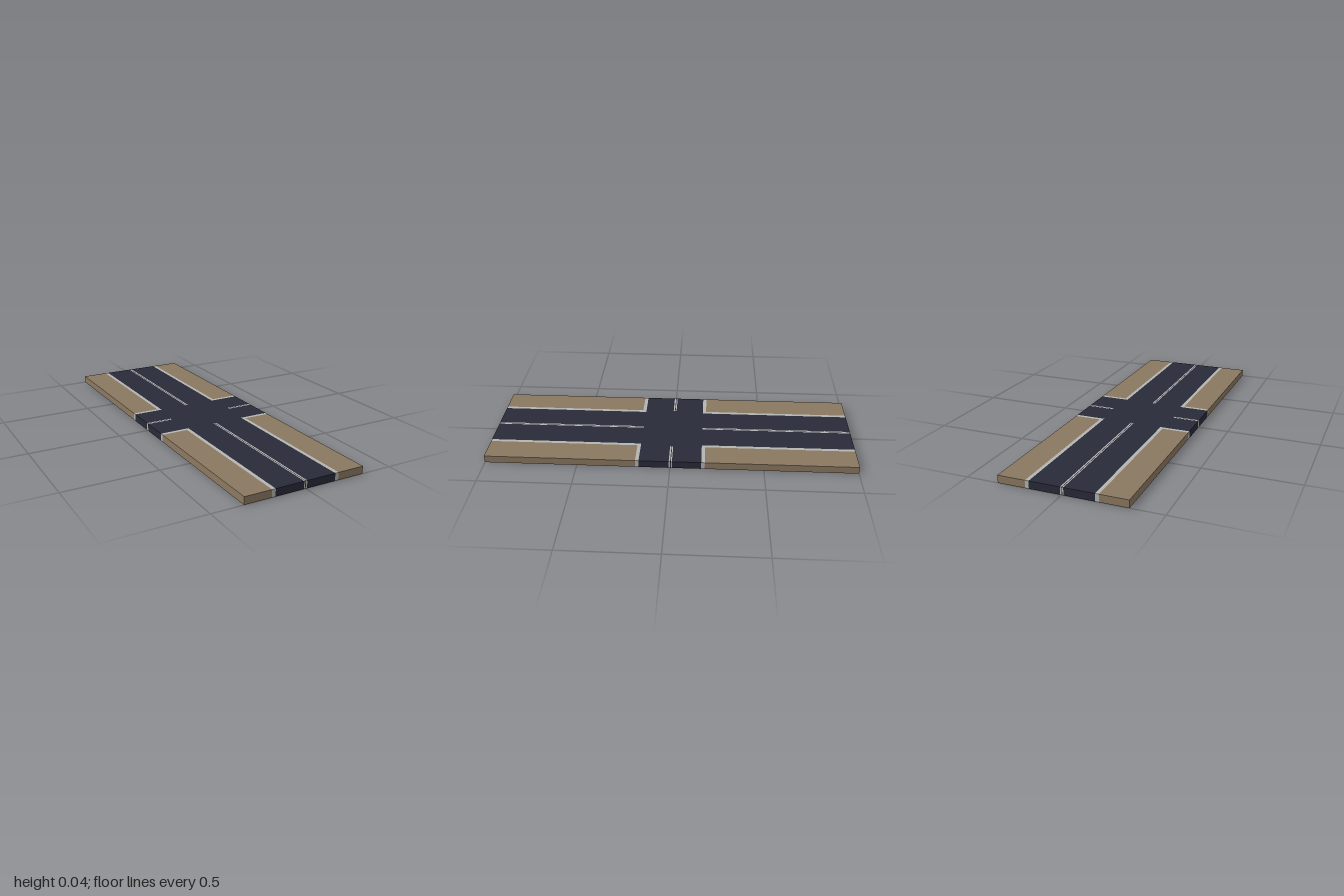
import * as THREE from 'three';
import { mergeGeometries } from 'three/addons/utils/BufferGeometryUtils.js';

const W = 0.332, L = 1, H = 0.04;      // half width, half length, height
const ROAD = 0.167, CURB = 0.186;      // road edge and outer kerb edge
const LINES = [-0.011, -0.0055, -0.0015, 0.006]; // double centre line

const makeMaterial = (color) => new THREE.MeshStandardMaterial({ color, side: THREE.DoubleSide });

// Top panel with a wall folded down wherever it meets the outer rim
function slab(xa, xb, za, zb) {
  const x0 = Math.min(xa, xb), x1 = Math.max(xa, xb);
  const z0 = Math.min(za, zb), z1 = Math.max(za, zb);
  const w = x1 - x0, d = z1 - z0, cx = (x0 + x1) / 2, cz = (z0 + z1) / 2;
  const parts = [new THREE.PlaneGeometry(w, d).rotateX(-Math.PI / 2).translate(cx, H, cz)];
  const wall = (width, turn, x, z) =>
    parts.push(new THREE.PlaneGeometry(width, H).rotateY(turn).translate(x, H / 2, z));
  if (z1 === L) wall(w, 0, cx, L);
  if (z0 === -L) wall(w, Math.PI, cx, -L);
  if (x1 === W) wall(d, Math.PI / 2, W, cz);
  if (x0 === -W) wall(d, -Math.PI / 2, -W, cz);
  return mergeGeometries(parts);
}

export function createModel() {
  const group = new THREE.Group();
  const asphalt = makeMaterial(0x282a38);
  const pale = makeMaterial(0xb4b4b2);
  const earth = makeMaterial(0x8b7860);
  const add = (name, material, slabs) => {
    const mesh = new THREE.Mesh(mergeGeometries(slabs), material);
    mesh.name = name;
    group.add(mesh);
  };
  const [a, b, c, d] = LINES;

  // Four corner blocks: ground with an L-shaped kerb
  for (const sx of [-1, 1]) for (const sz of [-1, 1]) {
    const corner = `${sz > 0 ? 'front' : 'back'}${sx > 0 ? 'Left' : 'Right'}`;
    add(`${corner}Ground`, earth, [slab(sx * CURB, sx * W, sz * CURB, sz * L)]);
    add(`${corner}Kerb`, pale, [
      slab(sx * ROAD, sx * CURB, sz * ROAD, sz * L),
      slab(sx * CURB, sx * W, sz * ROAD, sz * CURB),
    ]);
  }

  // Middle of the crossing, reaching to the kerb line on both sides
  add('crossing', asphalt, [slab(-CURB, CURB, -ROAD, ROAD)]);

  // Long road arms and short side arms, each with a double centre line
  for (const s of [-1, 1]) {
    const along = (p, q) => slab(p, q, s * ROAD, s * L);
    const across = (p, q) => slab(s * CURB, s * W, p, q);
    const arms = [[s > 0 ? 'frontRoad' : 'backRoad', along], [s > 0 ? 'leftRoad' : 'rightRoad', across]];
    for (const [name, strip] of arms) {
      add(name, asphalt, [strip(-ROAD, a), strip(b, c), strip(d, ROAD)]);
      add(`${name}Lines`, pale, [strip(a, b), strip(c, d)]);
    }
  }
  return group;
}
